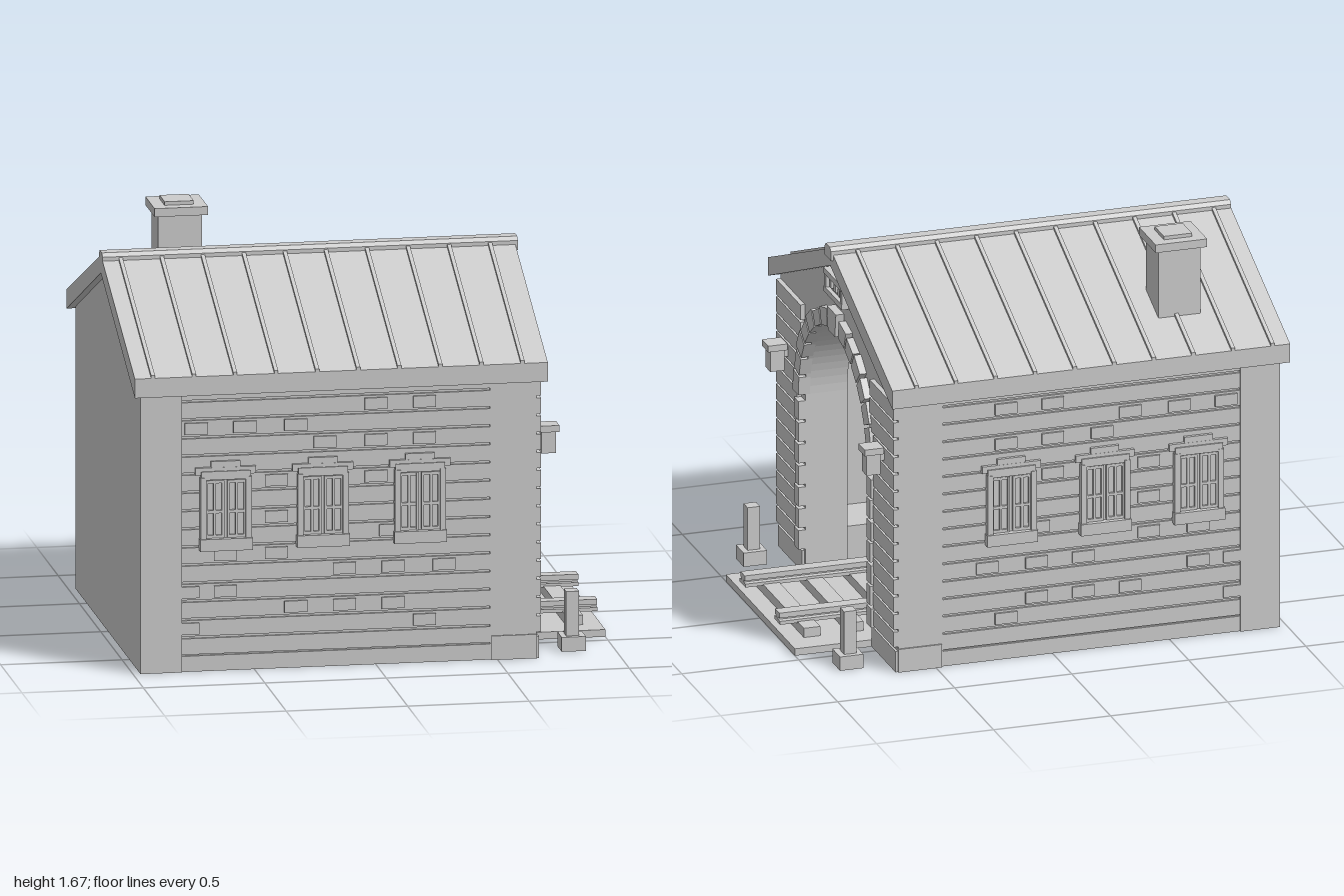
import * as THREE from 'three';

const stone = new THREE.MeshStandardMaterial({ color: 0xcccccc });
stone.name = 'light grey stone';

export function createModel() {
  const root = new THREE.Group();
  root.name = 'trackShed';

  const add = (name, geo, parent = root) => {
    const m = new THREE.Mesh(geo, stone);
    m.name = name;
    parent.add(m);
    return m;
  };
  // Box given by its limits on each axis
  const box = (name, x0, x1, y0, y1, z0, z1, parent) => {
    const m = add(name, new THREE.BoxGeometry(x1 - x0, y1 - y0, z1 - z0), parent);
    m.position.set((x0 + x1) / 2, (y0 + y1) / 2, (z0 + z1) / 2);
  };
  // Profile drawn across the width and height, extruded along x
  const across = (name, shape, x0, x1) => {
    const g = new THREE.ExtrudeGeometry(shape, { depth: x1 - x0, bevelEnabled: false, curveSegments: 20 });
    g.rotateY(Math.PI / 2);
    g.translate(x0, 0, 0);
    add(name, g);
  };
  const poly = (pts) => new THREE.Shape(pts.map(([a, b]) => new THREE.Vector2(a, b)));

  // Gabled end walls, the front one with an arched doorway
  const R = 0.44, SPRING = 0.77;
  across('backWall', poly([[-0.755, 0], [0.755, 0], [0.755, 1.18], [0, 1.5], [-0.755, 1.18]]), -0.97, -0.87);
  const front = new THREE.Shape();
  front.moveTo(-0.755, 0);
  front.lineTo(-R, 0);
  front.lineTo(-R, SPRING);
  front.absarc(0, SPRING, R, Math.PI, 0, true);
  front.lineTo(R, 0);
  front.lineTo(0.755, 0);
  front.lineTo(0.755, 1.18);
  front.lineTo(0, 1.5);
  front.lineTo(-0.755, 1.18);
  across('archWall', front, 0.48, 0.66);

  // Roof
  across('roof', poly([[-0.8, 1.16], [0, 1.495], [0.8, 1.16], [0.8, 1.24], [0, 1.57], [-0.8, 1.24]]), -1, 0.7);
  across('ridgeCap', poly([[-0.04, 1.53], [0.04, 1.53], [0.04, 1.57], [0.025, 1.585], [-0.025, 1.585], [-0.04, 1.57]]), -1, 0.71);
  for (let i = 0; i < 10; i++) {
    const x = -0.925 + i * 0.169;
    across('roofSeam', poly([[-0.8, 1.235], [0, 1.565], [0.8, 1.235], [0.8, 1.252], [0, 1.582], [-0.8, 1.252]]), x - 0.008, x + 0.008);
  }

  // Chimney
  box('chimneyShaft', -0.69, -0.51, 1.28, 1.63, -0.58, -0.42);
  box('chimneyCap', -0.71, -0.49, 1.625, 1.66, -0.605, -0.39);
  box('chimneyTop', -0.66, -0.54, 1.655, 1.675, -0.56, -0.44);

  // Raised bricks as centre x and course number
  const PITCH = 0.0757;
  const bricks = [
    [0, 12], [0.2, 12], [-0.74, 11], [-0.54, 11], [-0.33, 11], [-0.21, 10], [0, 10], [0.2, 10],
    [-0.41, 8], [0, 8], [-0.41, 6], [-0.41, 4], [-0.62, 4], [-0.13, 3], [0.07, 3], [0.28, 3],
    [-0.62, 2], [-0.775, 2], [-0.33, 1], [-0.13, 1], [0.07, 1], [0.2, 0], [-0.775, 0], [0.06, 5],
  ];
  // Each side is laid out at z > 0 and mirrored for the far side
  for (const s of [1, -1]) {
    const side = new THREE.Group();
    side.name = s > 0 ? 'leftSide' : 'rightSide';
    root.add(side);
    const put = (name, x0, x1, y0, y1, z0, z1, parent = side) =>
      box(name, x0, x1, y0, y1, Math.min(s * z0, s * z1), Math.max(s * z0, s * z1), parent);

    put('wallCore', -0.97, 0.5, 0, 1.19, 0.69, 0.743);
    put('rearPier', -0.97, -0.8, 0, 1.19, 0.7, 0.76);
    put('frontPier', 0.47, 0.66, 0, 1.19, 0.7, 0.757);
    put('pierFoot', 0.475, 0.662, 0, 0.1, 0.7, 0.764);
    put('wallFooting', -0.8, 0.47, 0, 0.065, 0.7, 0.753);
    for (let i = -1; i < 14; i++) {
      const y = 0.18 + i * PITCH;
      put('wallCourse', -0.8, 0.47, y - 0.033, Math.min(y + 0.033, 1.19), 0.7, 0.753);
    }
    for (const [x, row] of bricks) {
      const y = 0.18 + row * PITCH;
      put('raisedBrick', Math.max(x - 0.047, -0.8), x + 0.047, y - 0.024, y + 0.024, 0.72, 0.762);
    }

    // Windows with sill, lintel and two barred sashes
    for (const x of [-0.62, -0.22, 0.18]) {
      const win = new THREE.Group();
      win.name = 'window';
      side.add(win);
      put('sill', x - 0.108, x + 0.108, 0.505, 0.555, 0.74, 0.785, win);
      put('lintel', x - 0.102, x + 0.102, 0.8, 0.835, 0.74, 0.775, win);
      put('lintelStone', x - 0.125, x + 0.125, 0.82, 0.85, 0.74, 0.768, win);
      put('lintelCrown', x - 0.06, x + 0.06, 0.84, 0.875, 0.74, 0.767, win);
      put('glass', x - 0.09, x + 0.09, 0.55, 0.8, 0.74, 0.757, win);
      for (const e of [-1, 1]) {
        put('jamb', x + e * 0.093 - 0.012, x + e * 0.093 + 0.012, 0.55, 0.81, 0.74, 0.778, win);
        const c = x + e * 0.045;
        for (const d of [-0.034, 0, 0.034])
          put('sashBar', c + d - 0.005, c + d + 0.005, 0.56, 0.795, 0.74, 0.768, win);
        for (const y of [0.562, 0.665, 0.79])
          put('crossBar', c - 0.038, c + 0.038, y - 0.006, y + 0.006, 0.74, 0.767, win);
      }
    }

    // Courses on the arch wall beside the doorway
    put('endFooting', 0.64, 0.672, 0, 0.09, 0.45, 0.757);
    for (let i = 0; i < 14; i++) {
      const y = 0.142 + i * PITCH;
      put('endCourse', 0.65, 0.68, y - 0.033, y + 0.033, y > 0.95 ? 0.445 : 0.49, 0.757);
    }
    // Quoins up the door jamb
    for (let i = 0; i < 7; i++) {
      const y = 0.1 + i * 0.0935;
      put('doorQuoin', 0.64, 0.69, y, y + 0.082, 0.44, i % 2 ? 0.485 : 0.497);
    }
    // Arch ring stones
    for (let i = 0; i < 7; i++) {
      const a = (s > 0 ? 0 : Math.PI) + s * i * 0.206;
      const b = a + s * 0.18;
      const outer = i % 2 ? 0.505 : 0.515;
      const p = (r, t) => [r * Math.cos(t), SPRING + r * Math.sin(t)];
      across('archStone', poly([p(R, a), p(outer, a), p(outer, b), p(R, b)]), 0.64, 0.69);
    }

    // Wall lamp
    put('lampBracket', 0.66, 0.74, 0.88, 0.92, 0.6, 0.64);
    put('lampBody', 0.7, 0.76, 0.825, 0.925, 0.59, 0.65);
    put('lampCap', 0.69, 0.772, 0.915, 0.942, 0.58, 0.662);

    // Bollard
    put('bollardBase', 0.78, 0.88, 0, 0.06, 0.57, 0.67);
    put('bollardPost', 0.802, 0.855, 0.05, 0.245, 0.595, 0.648);

    // Inner platform and rail
    put('platform', -0.88, 0.48, 0, 0.17, 0.455, 0.7);
    put('railFoot', -0.84, 1, 0.065, 0.08, 0.185, 0.26);
    put('railWeb', -0.84, 1, 0.075, 0.1, 0.21, 0.235);
    put('railHead', -0.84, 1, 0.09, 0.112, 0.195, 0.25);

    // Track stop post
    put('stopPost', -0.79, -0.73, 0.06, 0.215, 0.175, 0.25);
    put('stopPostHead', -0.8, -0.72, 0.195, 0.22, 0.165, 0.265);
  }

  // Keystone and the blank framed plaque with its three small panes
  across('keystone', poly([[-0.045, 1.2], [0.045, 1.2], [0.058, 1.3], [-0.058, 1.3]]), 0.64, 0.695);
  box('plaque', 0.65, 0.672, 1.345, 1.44, -0.11, 0.11);
  box('plaqueFrameTop', 0.65, 0.69, 1.42, 1.445, -0.117, 0.117);
  box('plaqueFrameBottom', 0.65, 0.69, 1.342, 1.365, -0.117, 0.117);
  for (const e of [-1, 1]) box('plaqueFrameSide', 0.65, 0.688, 1.345, 1.44, e * 0.105 - 0.012, e * 0.105 + 0.012);
  for (const z of [-0.055, 0, 0.055]) box('plaquePane', 0.66, 0.682, 1.378, 1.408, z - 0.014, z + 0.014);

  // Track bed, sleepers and stop beam
  box('trackBed', -0.85, 1, 0, 0.03, -0.45, 0.44);
  for (let i = 0; i < 10; i++) {
    const x = 0.89 - i * 0.185;
    box('sleeper', x - 0.035, x + 0.035, 0.02, 0.07, -0.34, 0.34);
  }
  box('stopBeam', -0.81, -0.71, 0.212, 0.257, -0.29, 0.29);

  return root;
}
